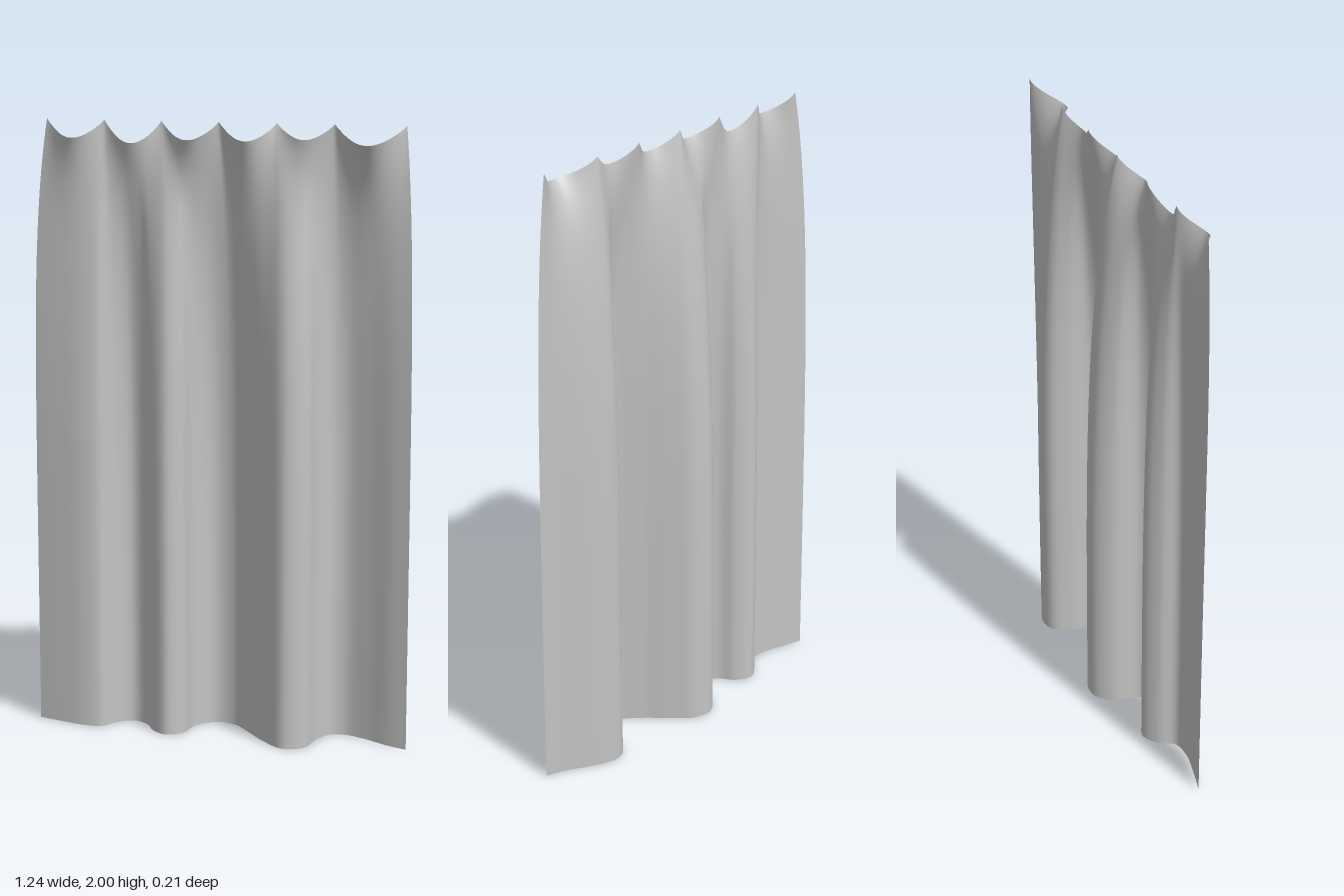
import * as THREE from 'three';

// Hanging points along the top, and the sag and forward flop of the cloth between them
const pins = [-0.568, -0.38, -0.195, -0.01, 0.175, 0.357, 0.582];
const sag = [0.055, 0.07, 0.055, 0.055, 0.048, 0.058];
const flop = [0.052, 0.03, 0.048, 0.045, 0.03, 0.07];

// Wavy hem seen from above, as [x, z]
const hem = new THREE.CatmullRomCurve3([
  [-0.627, -0.022], [-0.55, 0.002], [-0.46, 0.024], [-0.4, 0.018], [-0.365, -0.03],
  [-0.31, -0.058], [-0.26, -0.03], [-0.23, 0.02], [-0.175, 0.055], [-0.128, 0.03],
  [-0.1, -0.06], [-0.045, -0.105], [0.02, -0.095], [0.08, -0.035], [0.14, 0.035],
  [0.225, 0.102], [0.29, 0.075], [0.313, -0.01], [0.345, -0.065], [0.395, -0.078],
  [0.47, -0.05], [0.55, -0.005], [0.613, 0.02],
].map(([x, z]) => new THREE.Vector3(x, 0, z)), false, 'centripetal');
hem.arcLengthDivisions = 600;

// A plane draped from the pinned top edge down to the wavy hem
function drape() {
  const geometry = new THREE.PlaneGeometry(1, 1, 180, 70);
  const pos = geometry.attributes.position;
  const uv = geometry.attributes.uv;
  const hemPoint = new THREE.Vector3();
  for (let i = 0; i < pos.count; i++) {
    const u = uv.getX(i);
    const v = 1 - Math.pow(1 - uv.getY(i), 1.6); // rows crowd towards the top
    const k = Math.min(5, Math.floor(u * 6 + 1e-6));
    const s = Math.min(1, Math.max(0, u * 6 - k));
    const arch = Math.max(0, Math.sin(Math.PI * s));
    hem.getPointAt(u, hemPoint);

    const topX = THREE.MathUtils.lerp(pins[k], pins[k + 1], s);
    const x = THREE.MathUtils.lerp(hemPoint.x, topX, Math.pow(v, 6));
    const y = v * (2 - sag[k] * Math.pow(arch, 0.85));
    const lip = flop[k] * Math.pow(arch, 1.4) * Math.exp((v - 1) / 0.06);
    const z = hemPoint.z * (1 - Math.pow(v, 3.8)) + lip;
    pos.setXYZ(i, x, y, z);
  }
  geometry.computeVertexNormals();
  return geometry;
}

export function createModel() {
  const fabric = new THREE.MeshStandardMaterial({ color: 0xc4c4c4, side: THREE.DoubleSide });
  fabric.name = 'grey fabric';

  const curtain = new THREE.Mesh(drape(), fabric);
  curtain.name = 'curtainCloth';

  const group = new THREE.Group();
  group.name = 'curtain';
  group.add(curtain);
  return group;
}
